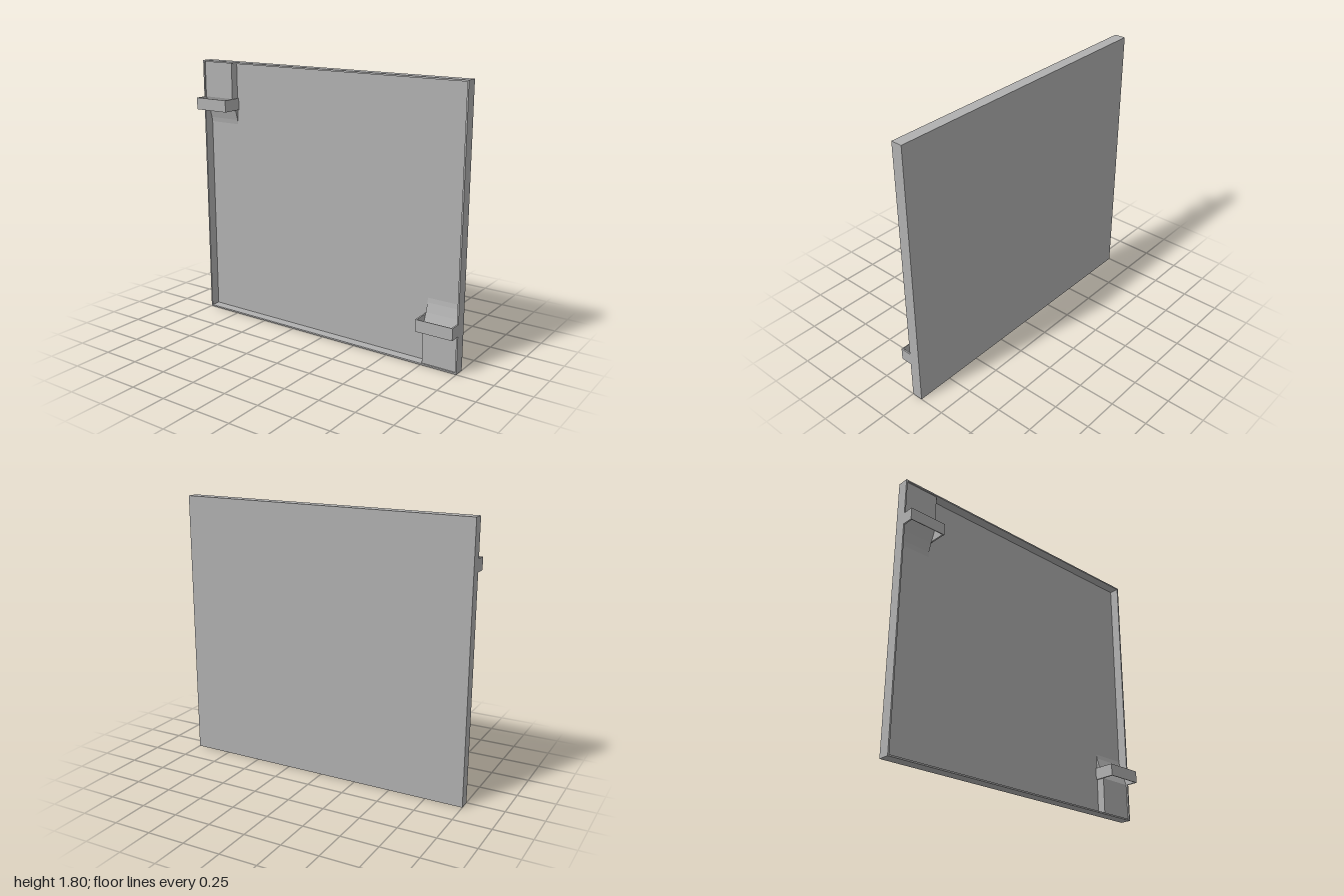
import * as THREE from 'three';

const W = 2, H = 1.8, D = 0.075, T = 0.01;

export function createModel() {
  const model = new THREE.Group();
  model.name = 'panelTray';
  const grey = new THREE.MeshStandardMaterial({ color: 0xb0b0b0 });
  grey.name = 'plain grey';

  // box given by its lower and upper limits on each axis
  const box = (parent, name, x0, x1, y0, y1, z0, z1) => {
    const mesh = new THREE.Mesh(new THREE.BoxGeometry(x1 - x0, y1 - y0, z1 - z0), grey);
    mesh.position.set((x0 + x1) / 2, (y0 + y1) / 2, (z0 + z1) / 2);
    mesh.name = name;
    parent.add(mesh);
  };

  // shallow tray: back sheet plus a thin rim, open to the front
  box(model, 'backPanel', -1, 1, 0, H, -D, -D + T);
  for (const s of [-1, 1]) {
    const x = s * (W - T) / 2, y = H / 2 + s * (H - T) / 2;
    box(model, 'sideRim', x - T / 2, x + T / 2, 0, H, -D + T, 0);
    box(model, 'endRim', -1 + T, 1 - T, y - T / 2, y + T / 2, -D + T, 0);
  }

  // corner pad with a ramp running down to the back sheet, and a strap loop over it
  const makeCorner = () => {
    const corner = new THREE.Group();
    const profile = new THREE.Shape();
    profile.moveTo(D - T, T);
    profile.lineTo(0.01, T);
    profile.lineTo(0.01, 0.25);
    profile.lineTo(0.043, 0.34);
    profile.lineTo(0.06, 0.4);
    profile.lineTo(D - T, 0.43);
    profile.closePath();
    const geo = new THREE.ExtrudeGeometry(profile, { depth: 0.235, bevelEnabled: false });
    geo.rotateY(Math.PI / 2); // profile x becomes -z, depth becomes +x
    const pad = new THREE.Mesh(geo, grey);
    pad.position.x = 0.755;
    pad.name = 'cornerPad';
    corner.add(pad);

    box(corner, 'strapFront', 0.745, 1, 0.25, 0.33, D - 0.005, D);
    box(corner, 'strapInnerSide', 0.745, 0.755, 0.25, 0.33, -D + T, D - 0.005);
    box(corner, 'strapOuterSide', 0.99, 1, 0.25, 0.33, 0, D - 0.005);
    return corner;
  };

  const lower = makeCorner();
  lower.name = 'lowerLeftHolder';
  const upper = makeCorner(); // the same holder turned half round
  upper.name = 'upperRightHolder';
  upper.rotation.z = Math.PI;
  upper.position.y = H;
  model.add(lower, upper);

  return model;
}
